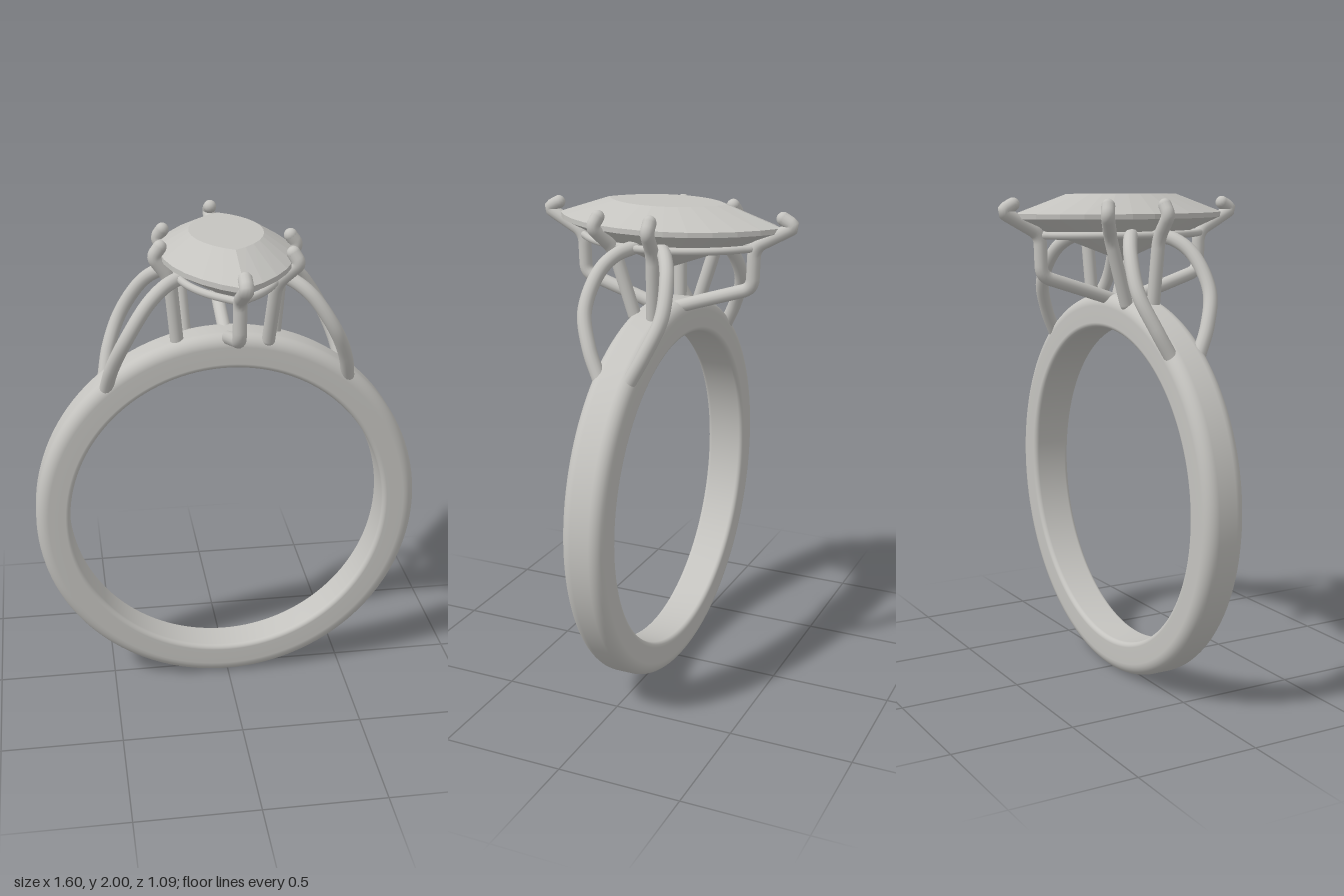
import * as THREE from 'three';

const metal = new THREE.MeshStandardMaterial({ color: 0xc4c3bf });
metal.name = 'pale metal';
const V = (p) => new THREE.Vector3(...p);

function add(parent, geometry, name) {
  const mesh = new THREE.Mesh(geometry, metal);
  mesh.name = name;
  parent.add(mesh);
  return mesh;
}

// Wire with round ends along any curve
function addWire(parent, curve, radius, name) {
  const wire = new THREE.Group();
  wire.name = name;
  add(wire, new THREE.TubeGeometry(curve, 64, radius, 14), name + 'Rod');
  for (const t of [0, 1]) {
    add(wire, new THREE.SphereGeometry(radius, 14, 10), name + 'End').position.copy(curve.getPoint(t));
  }
  parent.add(wire);
}

// Straight segments joined by small rounded bends
function bentPath(points, bend) {
  const p = points.map(V);
  const path = new THREE.CurvePath();
  let from = p[0];
  for (let i = 1; i < p.length - 1; i++) {
    const inDir = p[i - 1].clone().sub(p[i]);
    const outDir = p[i + 1].clone().sub(p[i]);
    const r = Math.min(bend, inDir.length() * 0.45, outDir.length() * 0.45);
    const a = p[i].clone().addScaledVector(inDir.normalize(), r);
    const b = p[i].clone().addScaledVector(outDir.normalize(), r);
    path.add(new THREE.LineCurve3(from, a));
    path.add(new THREE.QuadraticBezierCurve3(a, p[i], b));
    from = b;
  }
  path.add(new THREE.LineCurve3(from, p[p.length - 1]));
  return path;
}

// Pointed oval made of two arcs, counterclockwise from above, starting at +z
function marquise(halfWidth, halfLength, y, count) {
  const R = (halfLength ** 2 + halfWidth ** 2) / (2 * halfWidth);
  const sweep = Math.asin(halfLength / R);
  const points = [];
  for (const side of [1, -1]) {
    for (let i = 0; i < count / 2; i++) {
      const a = sweep * (1 - (4 * i) / count);
      points.push([side * (R * Math.cos(a) - (R - halfWidth)), y, side * R * Math.sin(a)]);
    }
  }
  return points;
}

// Band: rounded section turned about the finger axis, slightly narrower at the base
function bandGeometry() {
  const profile = [new THREE.Vector2(0.66, 0)];
  const corner = (r, z, radius, start) => {
    for (let i = 0; i <= 6; i++) {
      const a = start + (i / 6) * Math.PI / 2;
      profile.push(new THREE.Vector2(r + radius * Math.cos(a), z + radius * Math.sin(a)));
    }
  };
  corner(0.68, -0.07, 0.02, Math.PI);
  corner(0.75, -0.04, 0.05, -Math.PI / 2);
  corner(0.75, 0.04, 0.05, 0);
  corner(0.68, 0.07, 0.02, Math.PI / 2);
  profile.push(new THREE.Vector2(0.66, 0));
  const g = new THREE.LatheGeometry(profile, 128).rotateX(Math.PI / 2).translate(0, 0.8, 0);
  const pos = g.attributes.position;
  for (let i = 0; i < pos.count; i++) {
    pos.setZ(i, pos.getZ(i) * (0.87 + 0.13 * Math.min(1, pos.getY(i) / 1.4)));
  }
  return g;
}

// Stone: faceted loft from the lower point through the girdle to the flat table
function stoneGeometry() {
  const N = 24;
  const rings = [
    [0, 0, 1.73], [0.26, 0.48, 1.905], [0.26, 0.48, 1.925], [0.145, 0.255, 2], [0, 0, 2],
  ].map(([w, l, y]) => (w ? marquise(w, l, y, N) : Array(N).fill([0, y, 0])));
  const verts = [];
  for (let k = 0; k < rings.length - 1; k++) {
    for (let j = 0; j < N; j++) {
      const n = (j + 1) % N;
      const [a, b, c, d] = [rings[k][j], rings[k][n], rings[k + 1][n], rings[k + 1][j]];
      if (a !== b) verts.push(...a, ...b, ...c);
      if (c !== d) verts.push(...a, ...c, ...d);
    }
  }
  const g = new THREE.BufferGeometry();
  g.setAttribute('position', new THREE.Float32BufferAttribute(verts, 3));
  g.computeVertexNormals();
  return g;
}

export function createModel() {
  const ring = new THREE.Group();
  ring.name = 'ring';
  add(ring, bandGeometry(), 'band');
  add(ring, stoneGeometry(), 'stone');

  // Thin rail under the stone
  const rail = new THREE.CatmullRomCurve3(marquise(0.2, 0.37, 1.84, 32).map(V), true);
  add(ring, new THREE.TubeGeometry(rail, 128, 0.015, 10, true), 'galleryRail');

  for (const s of [1, -1]) {
    // Long prong holding each pointed end
    addWire(ring, bentPath([
      [0, 1.575, s * 0.04], [0, 1.605, s * 0.13], [0, 1.68, s * 0.365], [0, 1.845, s * 0.37],
      [0, 1.935, s * 0.535], [0, 1.962, s * 0.485],
    ], 0.04), 0.027, 'endProng');

    // Two side prongs, repeated by a half turn
    addWire(ring, bentPath([
      [s * 0.2, 1.56, s * -0.03], [s * 0.225, 1.83, s * -0.04],
      [s * 0.29, 1.92, s * -0.046], [s * 0.262, 1.958, s * -0.045],
    ], 0.04), 0.027, 'sideProng');
    addWire(ring, bentPath([
      [s * 0.16, 1.57, s * 0.07], [s * 0.175, 1.83, s * 0.15],
      [s * 0.253, 1.92, s * 0.205], [s * 0.23, 1.958, s * 0.19],
    ], 0.04), 0.027, 'cornerProng');

    // Arched shoulders rising from the band to the rail
    for (const f of [1, -1]) {
      addWire(ring, new THREE.CatmullRomCurve3([
        [s * 0.49, 1.39, f * 0.06], [s * 0.465, 1.5, f * 0.115], [s * 0.41, 1.63, f * 0.16],
        [s * 0.32, 1.765, f * 0.142], [s * 0.25, 1.82, f * 0.105], [s * 0.18, 1.842, f * 0.06],
      ].map(V)), 0.028, 'shoulderArch');
    }
  }
  return ring;
}
